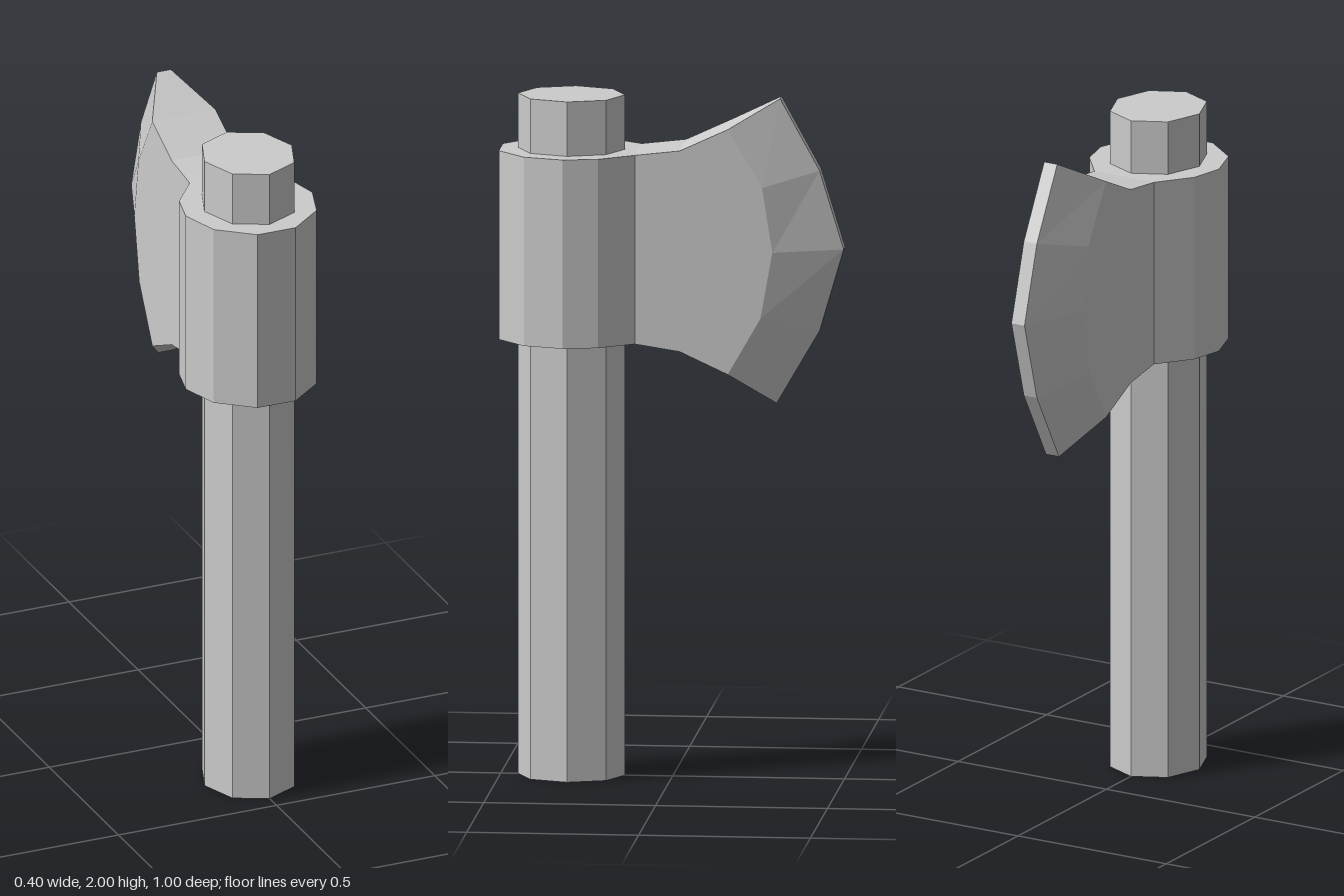
import * as THREE from 'three';

const material = new THREE.MeshStandardMaterial({ color: 0xcccccc, flatShading: true });

function part(name, geometry) {
  const mesh = new THREE.Mesh(geometry, material);
  mesh.name = name;
  return mesh;
}

// Eight-sided shaft, slightly deeper than wide
function handle() {
  const geo = new THREE.CylinderGeometry(1, 1, 2, 8);
  geo.scale(0.138, 1, 0.156);
  geo.translate(0, 1, 0.294);
  return part('handle', geo);
}

// Faceted socket around the shaft, drawn as half an outline and mirrored
function collar() {
  const half = [[0.1, 0.1], [0.177, 0.2], [0.2, 0.3], [0.163, 0.417], [0.06, 0.5]];
  const mirrored = half.map(([x, z]) => [-x, z]).reverse();
  const shape = new THREE.Shape([...half, ...mirrored].map(([x, z]) => new THREE.Vector2(x, z)));
  const geo = new THREE.ExtrudeGeometry(shape, { depth: 0.555, bevelEnabled: false });
  geo.rotateX(Math.PI / 2);
  geo.translate(0, 1.84, 0);
  return part('collar', geo);
}

// Flaring blade: stacked horizontal rings, bottom to top
function blade() {
  const widths = [0.1, 0.1, 0.1, 0.022];
  // each row holds [z, y] at the root, neck, bevel ridge and cutting edge
  const rows = [
    [[0.1, 1.285], [-0.03, 1.265], [-0.17, 1.2], [-0.305, 1.105]],
    [[0.1, 1.42], [-0.03, 1.41], [-0.265, 1.365], [-0.43, 1.32]],
    [[0.1, 1.56], [-0.03, 1.56], [-0.3, 1.56], [-0.5, 1.56]],
    [[0.1, 1.7], [-0.03, 1.71], [-0.27, 1.75], [-0.43, 1.79]],
    [[0.1, 1.84], [-0.03, 1.855], [-0.17, 1.92], [-0.315, 2]],
  ];
  const positions = [];
  for (const row of rows) {
    const side = row.map(([z, y], j) => [widths[j], y, z]);
    const other = side.map(([x, y, z]) => [-x, y, z]).reverse();
    positions.push(...side.flat(), ...other.flat());
  }
  const index = [];
  const quad = (a, b, c, d) => index.push(a, b, c, a, c, d);
  // cheeks, bevels, cutting edge and root
  for (let i = 0; i < rows.length - 1; i++) {
    for (let j = 0; j < 8; j++) {
      const k = (j + 1) % 8;
      quad(i * 8 + j, i * 8 + k, i * 8 + 8 + k, i * 8 + 8 + j);
    }
  }
  // upper and lower faces
  const top = (rows.length - 1) * 8;
  for (let j = 0; j < 3; j++) {
    quad(top + j, top + j + 1, top + 6 - j, top + 7 - j);
    quad(7 - j, 6 - j, j + 1, j);
  }
  const indexed = new THREE.BufferGeometry();
  indexed.setAttribute('position', new THREE.Float32BufferAttribute(positions, 3));
  indexed.setIndex(index);
  const geo = indexed.toNonIndexed();
  geo.computeVertexNormals();
  return part('blade', geo);
}

export function createModel() {
  const axe = new THREE.Group();
  axe.name = 'axe';
  axe.add(handle(), collar(), blade());
  return axe;
}
